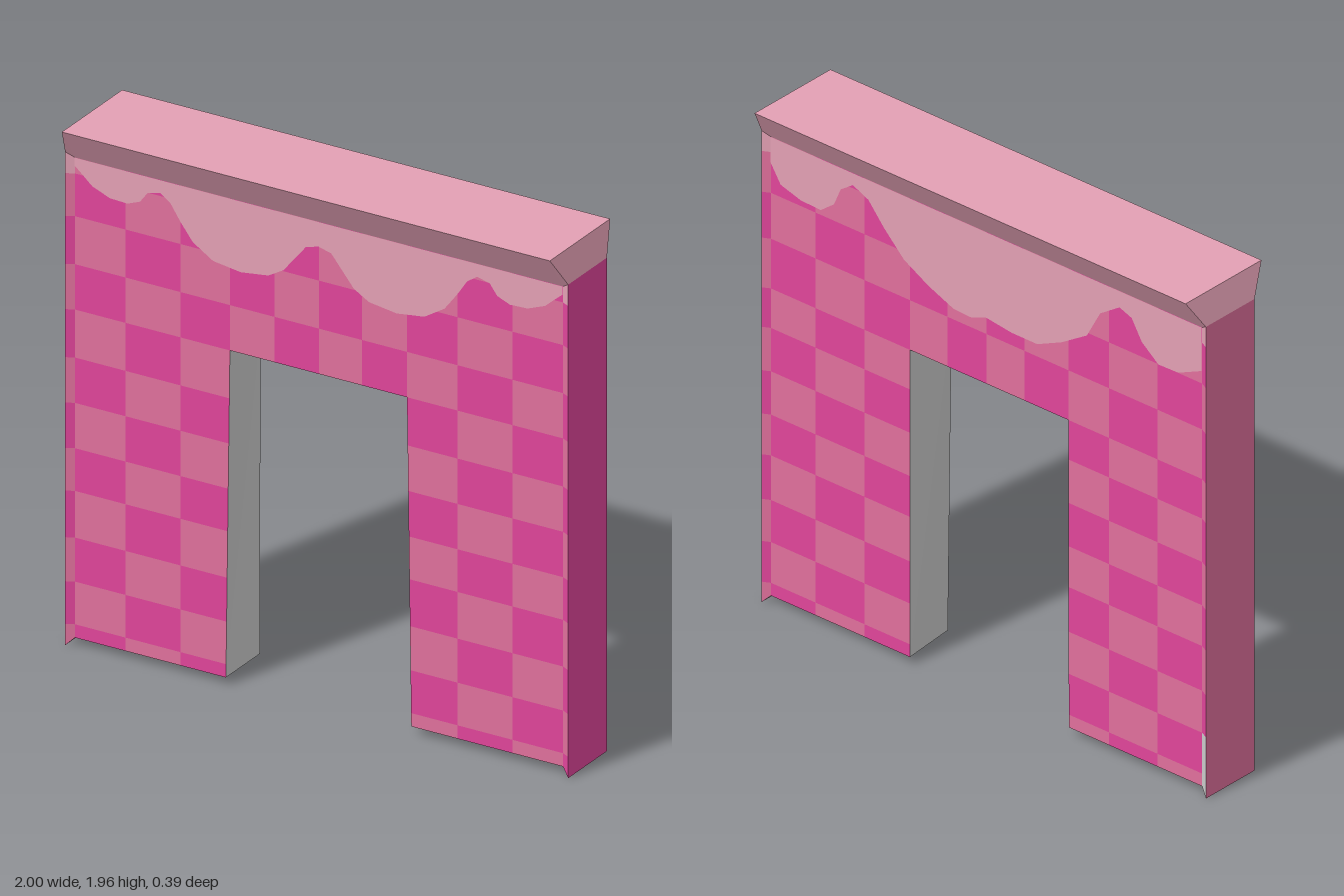
import * as THREE from 'three';

const MAGENTA = 0xe0459a, PINK = 0xe0709c, ICING = 0xe3a0b4, GREY = 0xcccccc;
const W = 0.97, Z = 0.11, BASE = 0.03, TOP = 1.83; // flat wall faces
const END = 1, ENDZ = 0.125, ENDTOP = 1.85;        // flared end panels
const CAPZ = 0.195, CAPY = 1.96;                   // top of the ledge

// Flat-shaded mesh from convex polygons; each is turned to face its "out" direction
function panels(name, color, polys) {
  const pos = [];
  for (const { pts, out } of polys) {
    const v = pts.map((p) => new THREE.Vector3(...p));
    const n = v[1].clone().sub(v[0]).cross(v[2].clone().sub(v[0]));
    if (n.dot(new THREE.Vector3(...out)) < 0) v.reverse();
    for (let i = 1; i < v.length - 1; i++) {
      for (const p of [v[0], v[i], v[i + 1]]) pos.push(p.x, p.y, p.z);
    }
  }
  const g = new THREE.BufferGeometry();
  g.setAttribute('position', new THREE.Float32BufferAttribute(pos, 3));
  g.computeVertexNormals();
  const mesh = new THREE.Mesh(g, new THREE.MeshStandardMaterial({ color, flatShading: true }));
  mesh.name = name;
  return mesh;
}

// One chequered wall face, facing +z, with its doorway and dripping icing
function wallFace(name, door, drip, greyCorner) {
  const group = new THREE.Group();
  group.name = name;
  const rows = [BASE, 0.08, 0.24, 0.405, 0.58, 0.74, 0.91, 1.08, door.top, 1.43, 1.61, 1.77, TOP];
  const doorRow = 8;
  const edgeX = (i, y) => {
    const t = Math.min(1, (y - BASE) / (door.top - BASE));
    if (i === 3) return THREE.MathUtils.lerp(door.left[0], door.left[1], t);
    if (i === 7) return THREE.MathUtils.lerp(door.right[0], door.right[1], t);
    return [-W, -0.77, -0.55, 0, -0.176, 0, 0.171, 0, 0.55, 0.77, W][i];
  };
  const cells = { [MAGENTA]: [], [PINK]: [], [ICING]: [], [GREY]: [] };
  const out = [0, 0, 1];
  for (let r = 0; r < rows.length - 1; r++) {
    const y0 = rows[r], y1 = rows[r + 1];
    for (let c = 0; c < 10; c++) {
      if (r < doorRow && c >= 3 && c < 7) continue;
      cells[(r + c) % 2 ? PINK : MAGENTA].push({
        pts: [[edgeX(c, y0), y0, Z], [edgeX(c + 1, y0), y0, Z], [edgeX(c + 1, y1), y1, Z], [edgeX(c, y1), y1, Z]], out,
      });
    }
    // narrow flared strips at both ends
    for (const s of [-1, 1]) {
      const o0 = r === 0 ? 0 : y0, o1 = y1 === TOP ? ENDTOP : y1;
      const plain = (r + (s < 0 ? 1 : 0)) % 2 ? PINK : MAGENTA;
      const color = y1 === TOP ? ICING : greyCorner && s > 0 && r < 2 ? GREY : plain;
      cells[color].push({ pts: [[s * W, y0, Z], [s * END, o0, ENDZ], [s * END, o1, ENDZ], [s * W, y1, Z]], out });
    }
  }
  group.add(panels('magentaTiles', MAGENTA, cells[MAGENTA]), panels('pinkTiles', PINK, cells[PINK]),
    panels('icingEnds', ICING, cells[ICING]));
  if (cells[GREY].length) group.add(panels('bareCorner', GREY, cells[GREY]));

  // icing drips, just in front of the tiles
  const shape = new THREE.Shape([[-W, TOP], ...drip, [W, TOP]].map(([x, y]) => new THREE.Vector2(x, y)));
  const icing = new THREE.Mesh(new THREE.ShapeGeometry(shape),
    new THREE.MeshStandardMaterial({ color: ICING, flatShading: true }));
  icing.name = 'icingDrips';
  icing.position.z = Z + 0.002;
  group.add(icing);
  return group;
}

export function createModel() {
  const model = new THREE.Group();
  model.name = 'icedArchway';

  // Doorway outline on each face, x as [bottom, top]
  const front = { left: [-0.37, -0.354], right: [0.367, 0.35], top: 1.26 };
  const back = { left: [-0.345, -0.345], right: [0.37, 0.368], top: 1.235 };

  // Front drip is symmetrical
  const half = [[-0.97, 1.8], [-0.94, 1.775], [-0.9, 1.74], [-0.83, 1.713], [-0.76, 1.71], [-0.71, 1.73],
    [-0.68, 1.77], [-0.63, 1.782], [-0.59, 1.755], [-0.55, 1.695], [-0.5, 1.63], [-0.42, 1.58],
    [-0.31, 1.565], [-0.2, 1.58], [-0.14, 1.615], [-0.095, 1.67], [-0.05, 1.725]];
  const frontDrip = [...half, [0, 1.738], ...half.map(([x, y]) => [-x, y]).reverse()];
  const backDrip = [[-0.97, 1.73], [-0.925, 1.66], [-0.835, 1.634], [-0.745, 1.63], [-0.685, 1.676],
    [-0.655, 1.746], [-0.6, 1.784], [-0.53, 1.753], [-0.46, 1.67], [-0.37, 1.58], [-0.26, 1.52],
    [-0.146, 1.473], [-0.07, 1.47], [0, 1.495], [0.116, 1.48], [0.23, 1.48], [0.34, 1.53],
    [0.453, 1.6], [0.513, 1.71], [0.6, 1.767], [0.655, 1.746], [0.7, 1.67], [0.775, 1.61],
    [0.865, 1.613], [0.97, 1.66]];

  const backFace = wallFace('backFace', back, backDrip, true);
  backFace.rotation.y = Math.PI;
  model.add(wallFace('frontFace', front, frontDrip, false), backFace);

  // Doorway lining and undersides; the back outline is turned into model x
  const sides = [
    { s: -1, f: front.left, b: back.right.map((x) => -x) },
    { s: 1, f: front.right, b: back.left.map((x) => -x) },
  ];
  const jambs = [], bottoms = [];
  for (const { s, f, b } of sides) {
    jambs.push({ pts: [[f[0], BASE, Z], [b[0], BASE, -Z], [b[1], back.top, -Z], [f[1], front.top, Z]], out: [-s, 0, 0] });
    bottoms.push({ pts: [[f[0], BASE, Z], [s * W, BASE, Z], [s * W, BASE, -Z], [b[0], BASE, -Z]], out: [0, -1, 0] });
    bottoms.push({ pts: [[s * W, BASE, Z], [s * END, 0, ENDZ], [s * END, 0, -ENDZ], [s * W, BASE, -Z]], out: [0, -1, 0] });
  }
  const [l, r] = sides;
  const lintel = { pts: [[l.f[1], front.top, Z], [r.f[1], front.top, Z], [r.b[1], back.top, -Z], [l.b[1], back.top, -Z]], out: [0, -1, 0] };
  model.add(panels('doorJambs', GREY, jambs), panels('doorLintel', GREY, [lintel]), panels('undersides', GREY, bottoms));

  // End panels
  for (const [s, name, color] of [[1, 'leftEnd', MAGENTA], [-1, 'rightEnd', PINK]]) {
    const x = s * END;
    model.add(panels(name, color, [
      { pts: [[x, 0, ENDZ], [x, 0, -ENDZ], [x, ENDTOP, -ENDZ], [x, ENDTOP, ENDZ]], out: [s, 0, 0] },
    ]));
  }

  // Flared ledge along the top
  const ledge = [{ pts: [[-W, CAPY, CAPZ], [W, CAPY, CAPZ], [W, CAPY, -CAPZ], [-W, CAPY, -CAPZ]], out: [0, 1, 0] }];
  for (const s of [-1, 1]) {
    ledge.push({ pts: [[-W, TOP, s * Z], [W, TOP, s * Z], [W, CAPY, s * CAPZ], [-W, CAPY, s * CAPZ]], out: [0, 0, s] });
    ledge.push({ pts: [[s * END, ENDTOP, ENDZ], [s * END, ENDTOP, -ENDZ], [s * W, CAPY, -CAPZ], [s * W, CAPY, CAPZ]], out: [s, 0, 0] });
    for (const k of [-1, 1]) {
      ledge.push({ pts: [[s * W, TOP, k * Z], [s * END, ENDTOP, k * ENDZ], [s * W, CAPY, k * CAPZ]], out: [0, 0, k] });
    }
  }
  model.add(panels('topLedge', ICING, ledge));
  return model;
}
